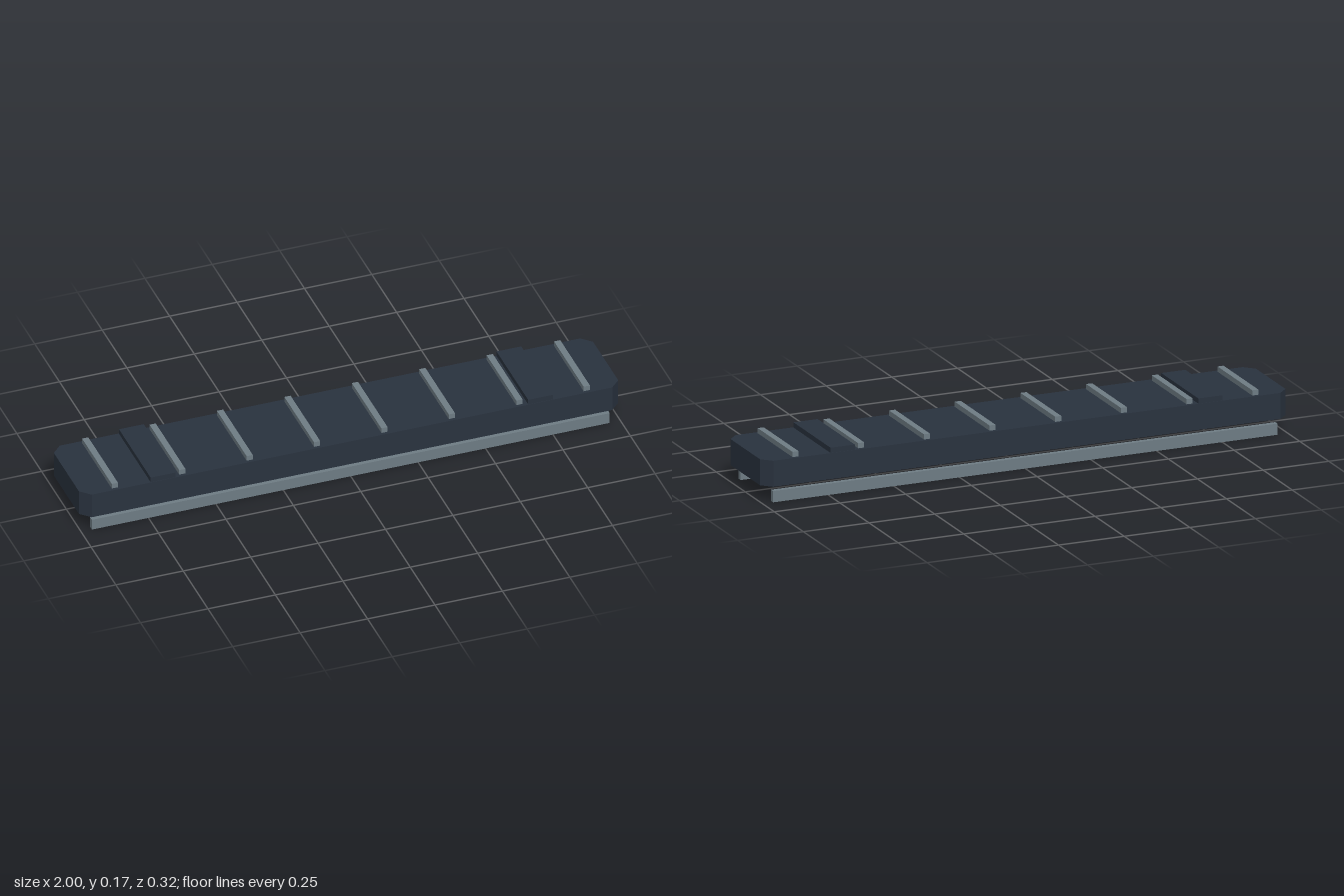
import * as THREE from 'three';

const slate = new THREE.MeshStandardMaterial({ name: 'darkSlate', color: 0x29323e });
const steel = new THREE.MeshStandardMaterial({ name: 'steelGrey', color: 0x6e7c84 });
const cream = new THREE.MeshStandardMaterial({ name: 'warmCream', color: 0xe2d6b9 });

export function createModel() {
  const model = new THREE.Group();
  model.name = 'platform';

  // Box given by its centre x/z, bottom and top heights, and footprint
  function box(name, material, x, z, y0, y1, width, depth) {
    const mesh = new THREE.Mesh(new THREE.BoxGeometry(width, y1 - y0, depth), material);
    mesh.position.set(x, (y0 + y1) / 2, z);
    mesh.name = name;
    model.add(mesh);
  }

  // Main slab with cut corners, extruded upwards
  const L = 1, W = 0.162, c = 0.035;
  const outline = new THREE.Shape([
    [L - c, -W], [L, -W + c], [L, W - c], [L - c, W],
    [-L + c, W], [-L, W - c], [-L, -W + c], [-L + c, -W],
  ].map(([x, z]) => new THREE.Vector2(x, z)));
  const slabGeometry = new THREE.ExtrudeGeometry(outline, { depth: 0.095, bevelEnabled: false });
  slabGeometry.rotateX(-Math.PI / 2);
  const slab = new THREE.Mesh(slabGeometry, slate);
  slab.position.y = 0.061;
  slab.name = 'slab';
  model.add(slab);

  // Cross ribs wrapping through the slab, showing above and just below it
  for (let i = 0; i < 8; i++) {
    box('crossRib', steel, -0.875 + i * 0.25, 0, 0.0575, 0.175, 0.023, 0.3);
  }

  // Raised pads near both ends
  for (const s of [-1, 1]) box('topPad', slate, s * 0.7, 0, 0.155, 0.175, 0.092, 0.32);

  // Thin panel under the slab, held by the ribs
  box('undersidePanel', cream, 0, 0, 0.057, 0.058, 1.87, 0.26);

  // Long rails hanging beneath
  for (const s of [-1, 1]) box('rail', steel, 0, s * 0.14, 0, 0.041, 1.92, 0.019);

  return model;
}
